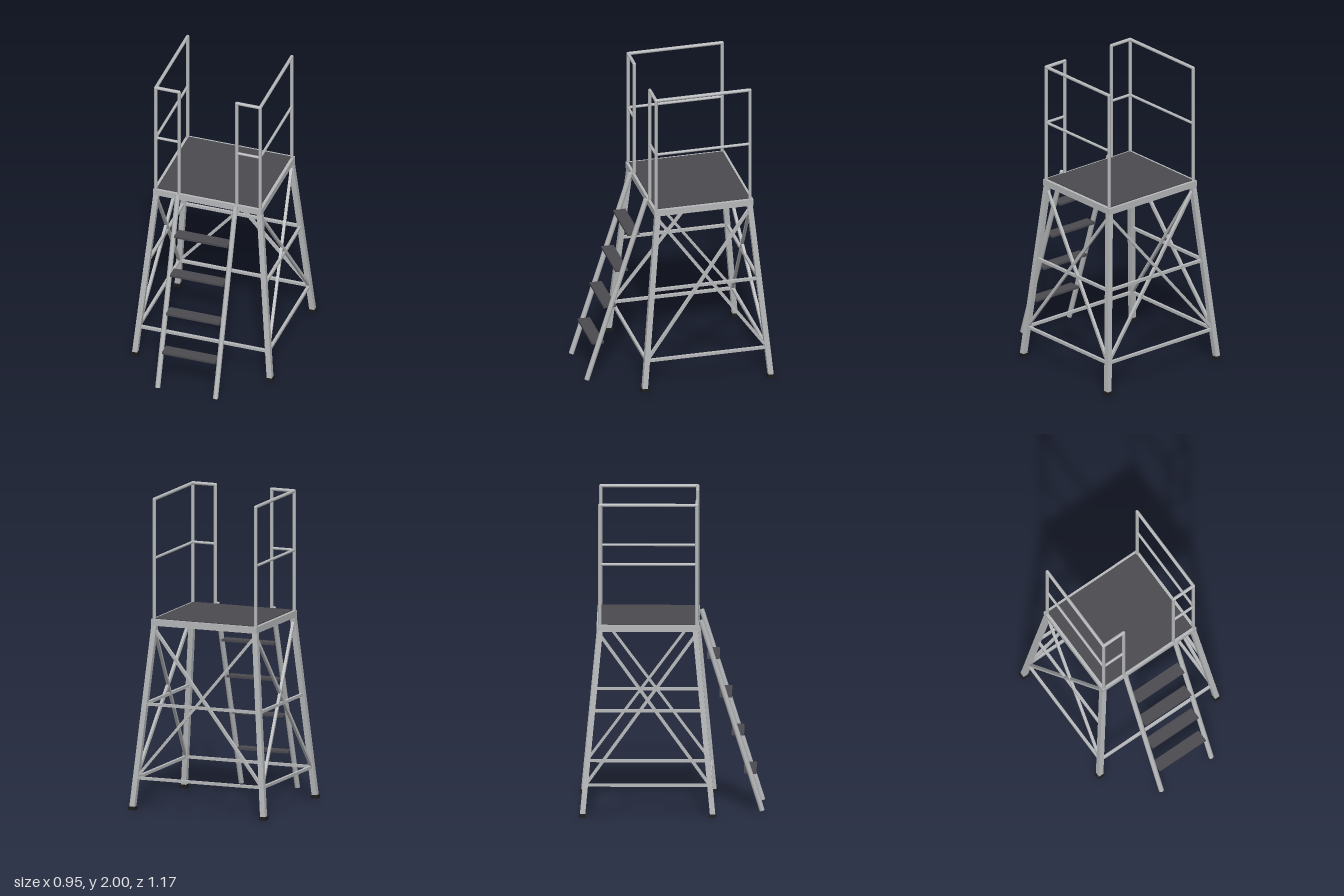
import * as THREE from 'three';

const metal = new THREE.MeshStandardMaterial({ name: 'aluminium', color: 0xb6b8ba });
const tread = new THREE.MeshStandardMaterial({ name: 'dark tread', color: 0x4a4a4f });
const rubber = new THREE.MeshStandardMaterial({ name: 'black rubber', color: 0x1c1c1e });

const CZ = -0.153; // centre of the tower in z
const V = (x, y, z) => new THREE.Vector3(x, y, z);

// Centre line of a leg at height y, for the corner with signs sx, sz
function legAt(sx, sz, y) {
  const t = y / 1.18;
  return V(sx * (0.452 - 0.106 * t), y, CZ + sz * (0.413 - 0.112 * t));
}

function addBox(parent, name, w, h, d, x, y, z, material) {
  const mesh = new THREE.Mesh(new THREE.BoxGeometry(w, h, d), material);
  mesh.position.set(x, y, z);
  mesh.name = name;
  parent.add(mesh);
}

// Square bar between two points
function addBar(parent, name, a, b, size) {
  const mesh = new THREE.Mesh(new THREE.BoxGeometry(size, size, a.distanceTo(b)), metal);
  mesh.position.copy(a).lerp(b, 0.5);
  mesh.lookAt(b);
  mesh.name = name;
  parent.add(mesh);
}

// Round tube between two points
function addTube(parent, name, a, b, r) {
  const mesh = new THREE.Mesh(new THREE.CylinderGeometry(r, r, a.distanceTo(b), 16), metal);
  mesh.position.copy(a).lerp(b, 0.5);
  mesh.quaternion.setFromUnitVectors(V(0, 1, 0), b.clone().sub(a).normalize());
  mesh.name = name;
  parent.add(mesh);
}

// Axis-aligned square leg, sheared to lean inwards
function addLeg(parent, sx, sz) {
  const geo = new THREE.BoxGeometry(0.034, 1.165, 0.034);
  geo.translate(0, 0.6025, 0);
  const p = geo.attributes.position;
  for (let i = 0; i < p.count; i++) {
    const c = legAt(sx, sz, p.getY(i));
    p.setXYZ(i, p.getX(i) + c.x, p.getY(i), p.getZ(i) + c.z);
  }
  geo.computeVertexNormals();
  const mesh = new THREE.Mesh(geo, metal);
  mesh.name = 'leg';
  parent.add(mesh);
}

export function createModel() {
  const model = new THREE.Group();
  model.name = 'accessPlatform';
  const part = (name) => {
    const g = new THREE.Group();
    g.name = name;
    model.add(g);
    return g;
  };

  // Platform
  const platform = part('platform');
  addBox(platform, 'platformFrame', 0.724, 0.042, 0.646, 0, 1.201, CZ, metal);
  addBox(platform, 'deck', 0.684, 0.008, 0.612, 0, 1.223, CZ, tread);

  // Legs and feet
  const legs = part('legs');
  for (const sx of [-1, 1]) for (const sz of [-1, 1]) {
    addLeg(legs, sx, sz);
    const foot = legAt(sx, sz, 0.018);
    addBox(legs, 'foot', 0.046, 0.022, 0.046, foot.x, foot.y, foot.z, rubber);
  }

  // Braces: each side runs between two corners; the front stays open for access
  const braces = part('braces');
  const sides = [
    [[-1, 1], [1, 1], false],
    [[-1, -1], [1, -1], true],
    [[-1, -1], [-1, 1], true],
    [[1, -1], [1, 1], true],
  ];
  for (const [a, b, crossed] of sides) {
    addBar(braces, 'lowerBrace', legAt(...a, 0.21), legAt(...b, 0.21), 0.018);
    if (!crossed) continue;
    addBar(braces, 'middleBrace', legAt(...a, 0.68), legAt(...b, 0.68), 0.018);
    addBar(braces, 'crossBrace', legAt(...a, 0.21), legAt(...b, 1.16), 0.018);
    addBar(braces, 'crossBrace', legAt(...b, 0.21), legAt(...a, 1.16), 0.018);
  }

  // Guard rails, one mirrored set on each side
  const TOP = 1.989, MID = 1.61, R = 0.011;
  for (const s of [-1, 1]) {
    const rails = part(s > 0 ? 'leftGuardRail' : 'rightGuardRail');
    const corners = [[s * 0.348, -0.456], [s * 0.348, 0.157], [s * 0.193, 0.157]];
    corners.forEach(([x, z], i) => {
      addTube(rails, 'post', V(x, 1.2, z), V(x, TOP, z), R);
      const joint = new THREE.Mesh(new THREE.SphereGeometry(R, 16, 10), metal);
      joint.position.set(x, TOP, z);
      joint.name = 'railJoint';
      rails.add(joint);
      if (i === 0) return;
      const [px, pz] = corners[i - 1];
      addTube(rails, 'topRail', V(px, TOP, pz), V(x, TOP, z), R);
      addTube(rails, 'middleRail', V(px, MID, pz), V(x, MID, z), 0.009);
    });
  }

  // Ladder
  const ladder = part('ladder');
  const foot = V(0, 0.005, 0.568), head = V(0, 1.225, 0.182);
  for (const s of [-1, 1]) {
    const x = s * 0.193;
    addTube(ladder, 'ladderRail', foot.clone().setX(x), head.clone().setX(x), 0.0165);
  }
  for (let i = 1; i <= 4; i++) {
    const y = i * 0.245;
    const c = foot.clone().lerp(head, (y - foot.y) / (head.y - foot.y));
    addBox(ladder, 'step', 0.356, 0.014, 0.08, 0, y, c.z, tread);
  }

  return model;
}
